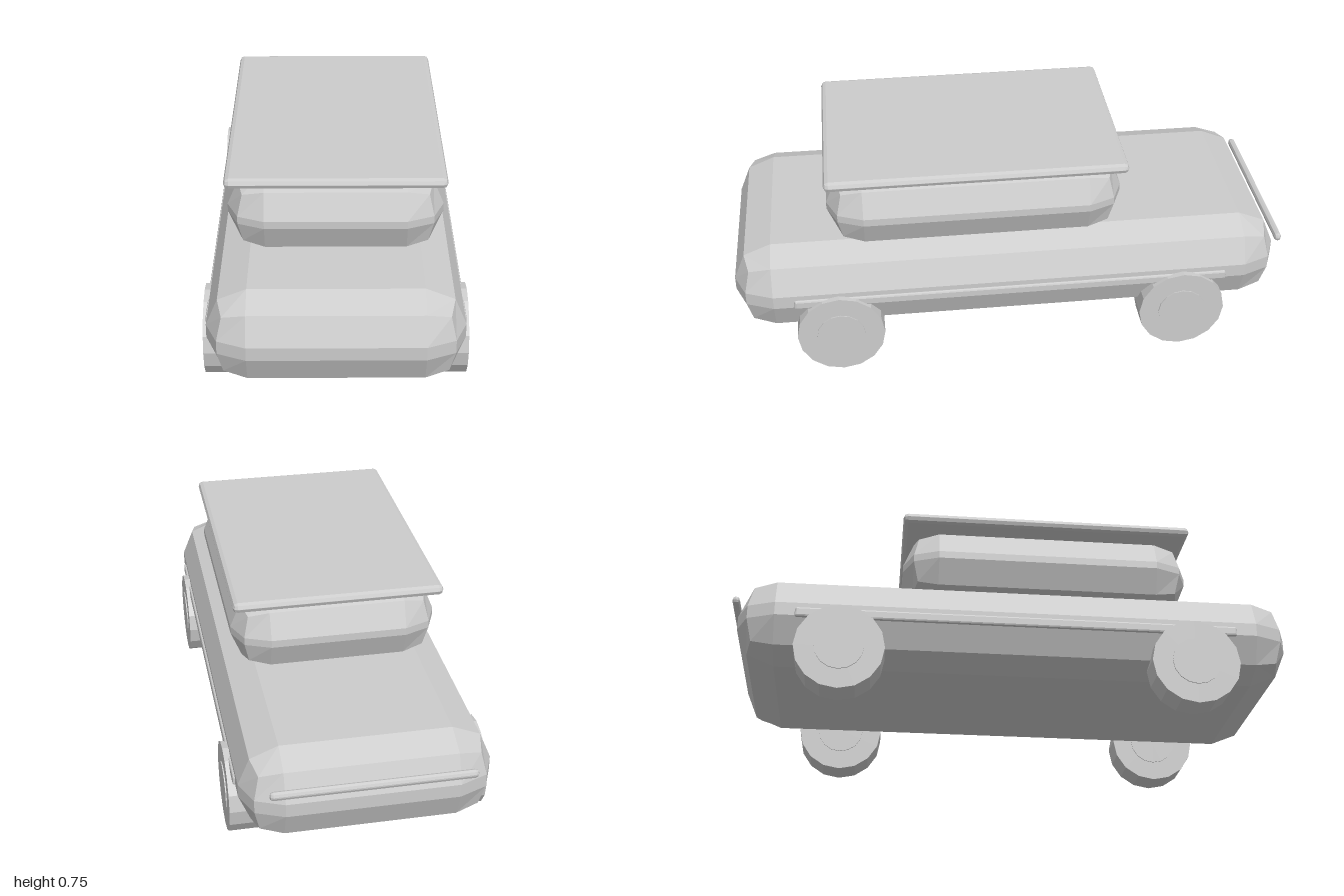
import * as THREE from 'three';
import { RoundedBoxGeometry } from 'three/addons/geometries/RoundedBoxGeometry.js';

export function createModel() {
  const car = new THREE.Group();
  car.name = 'car';
  const grey = new THREE.MeshStandardMaterial({ color: 0xcccccc, flatShading: true });
  grey.name = 'light grey';

  const add = (name, geometry, x, y, z) => {
    const mesh = new THREE.Mesh(geometry, grey);
    mesh.name = name;
    mesh.position.set(x, y, z);
    car.add(mesh);
    return mesh;
  };

  // Box with faceted round edges, given by its extents
  const block = (name, [x0, x1], [y0, y1], [z0, z1], radius) =>
    add(name, new RoundedBoxGeometry(x1 - x0, y1 - y0, z1 - z0, 1, radius),
      (x0 + x1) / 2, (y0 + y1) / 2, (z0 + z1) / 2);

  // Body, cabin, roof panel and rear bar
  block('body', [-0.428, 0.428], [0.14, 0.462], [-0.98, 1], 0.137);
  block('cabin', [-0.368, 0.368], [0.437, 0.72], [-0.402, 0.655], 0.128);
  block('roofPanel', [-0.371, 0.371], [0.712, 0.748], [-0.408, 0.657], 0.0175);
  block('rearBar', [-0.345, 0.345], [0.356, 0.386], [-1, -0.974], 0.0125);

  // Side trims, wheels and hubs, mirrored
  for (const side of [1, -1]) {
    const trim = block('sideTrim', [0.414, 0.436], [0.271, 0.307], [-0.773, 0.79], 0.007);
    trim.position.x *= side;

    for (const z of [0.632, -0.614]) {
      const wheel = new THREE.CylinderGeometry(0.157, 0.157, 0.11, 16).rotateZ(Math.PI / 2);
      const hub = new THREE.CylinderGeometry(0.086, 0.086, 0.118, 16).rotateZ(Math.PI / 2);
      add('wheel', wheel, side * 0.395, 0.157, z);
      add('hub', hub, side * 0.395, 0.157, z);
    }
  }
  return car;
}
